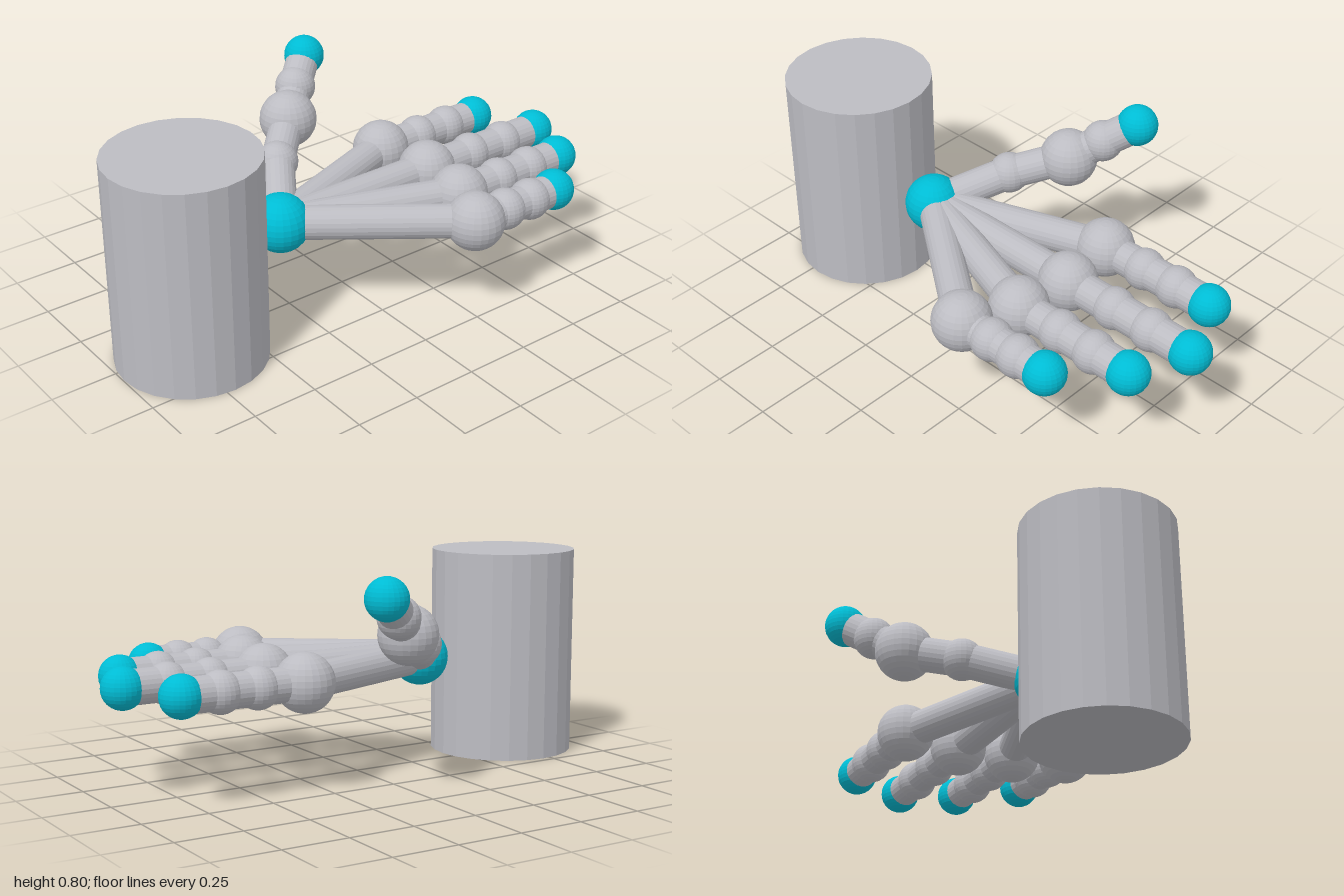
import * as THREE from 'three';

const grey = new THREE.MeshStandardMaterial({ color: 0xbcbcc2, flatShading: true });
grey.name = 'light grey';
const cyan = new THREE.MeshStandardMaterial({ color: 0x00bcd4, flatShading: true });
cyan.name = 'cyan';

const BONE_R = 0.064, JOINT_R = 0.078, KNUCKLE_R = 0.11;
const UP = new THREE.Vector3(0, 1, 0);

function ball(name, p, r, material) {
  const mesh = new THREE.Mesh(new THREE.SphereGeometry(r, 24, 16), material);
  mesh.name = name;
  mesh.position.copy(p);
  return mesh;
}

// Straight rod joining two joint centres
function bone(name, a, b) {
  const dir = b.clone().sub(a);
  const mesh = new THREE.Mesh(new THREE.CylinderGeometry(BONE_R, BONE_R, dir.length(), 24), grey);
  mesh.name = name;
  mesh.position.copy(a).add(b).multiplyScalar(0.5);
  mesh.quaternion.setFromUnitVectors(UP, dir.normalize());
  return mesh;
}

// Chain of bones and joints from the wrist; the last joint is the coloured tip
function digit(name, wrist, points, knuckleIndex) {
  const group = new THREE.Group();
  group.name = name;
  let previous = wrist;
  points.forEach((p, i) => {
    const tip = i === points.length - 1;
    const knuckle = i === knuckleIndex;
    group.add(bone(name + 'Bone' + (i + 1), previous, p));
    group.add(ball(name + (tip ? 'Tip' : knuckle ? 'Knuckle' : 'Joint' + i), p,
      knuckle ? KNUCKLE_R : JOINT_R, tip ? cyan : grey));
    previous = p;
  });
  return group;
}

export function createModel() {
  const model = new THREE.Group();
  model.name = 'mechanicalHand';

  // Upright forearm cylinder
  const forearm = new THREE.Mesh(new THREE.CylinderGeometry(0.28, 0.28, 0.8, 24), grey);
  forearm.name = 'forearm';
  forearm.position.set(0.055, 0.4, 0.717);
  model.add(forearm);

  const wrist = new THREE.Vector3(0.055, 0.4, 0.32);
  model.add(ball('wrist', wrist, KNUCKLE_R, cyan));

  // Four straight fingers: x, then z of knuckle, two joints and tip
  const fingers = {
    indexFinger: [-0.187, [-0.335, -0.522, -0.668, -0.815]],
    middleFinger: [0.055, [-0.367, -0.585, -0.752, -0.922]],
    ringFinger: [0.277, [-0.335, -0.53, -0.683, -0.835]],
    littleFinger: [0.47, [-0.245, -0.39, -0.512, -0.634]],
  };
  for (const [name, [x, zs]] of Object.entries(fingers)) {
    model.add(digit(name, wrist, zs.map((z) => new THREE.Vector3(x, 0.4, z)), 0));
  }

  // Raised thumb
  const thumb = [[-0.19, 0.495, 0.157], [-0.347, 0.564, -0.005], [-0.43, 0.643, -0.1], [-0.507, 0.722, -0.2]];
  model.add(digit('thumb', wrist, thumb.map((p) => new THREE.Vector3(...p)), 1));

  return model;
}
